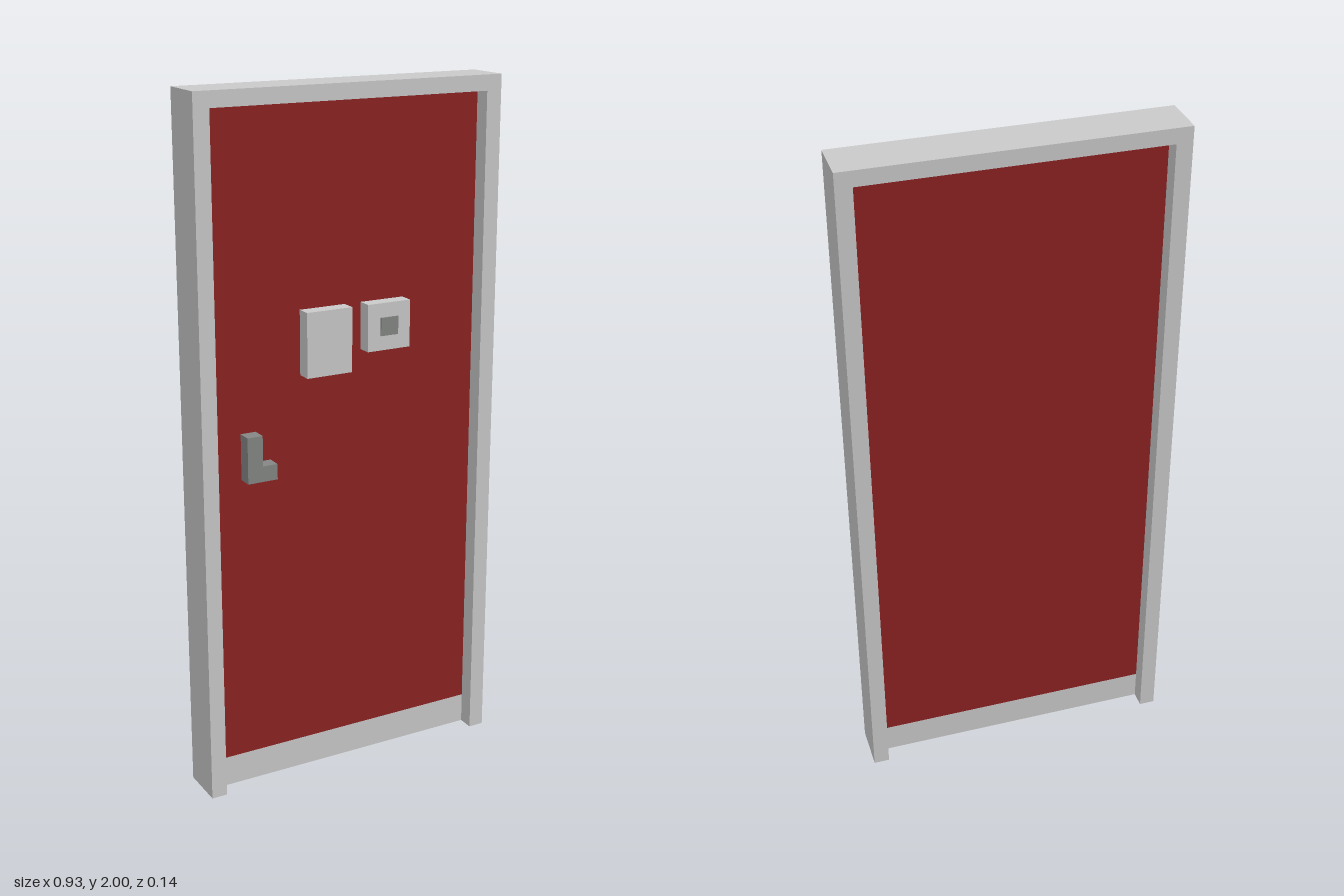
import * as THREE from 'three';

const mat = (name, color) => {
  const m = new THREE.MeshStandardMaterial({ color });
  m.name = name;
  return m;
};

export function createModel() {
  const model = new THREE.Group();
  model.name = 'securityDoor';
  const lightGrey = mat('lightGrey', 0xc9c9c9);
  const darkGrey = mat('darkGrey', 0x848684);
  const red = mat('darkRed', 0x8b2222);

  const add = (name, geometry, material) => {
    const mesh = new THREE.Mesh(geometry, material);
    mesh.name = name;
    model.add(mesh);
    return mesh;
  };
  // Box given by its limits on each axis
  const box = (name, material, x0, x1, y0, y1, z0, z1) =>
    add(name, new THREE.BoxGeometry(x1 - x0, y1 - y0, z1 - z0), material)
      .position.set((x0 + x1) / 2, (y0 + y1) / 2, (z0 + z1) / 2);
  // Outline of [x, y] points extruded from z0 to z1
  const extrude = (name, material, points, z0, z1) => {
    const shape = new THREE.Shape(points.map(([x, y]) => new THREE.Vector2(x, y)));
    const geometry = new THREE.ExtrudeGeometry(shape, { depth: z1 - z0, bevelEnabled: false });
    add(name, geometry, material).position.z = z0;
  };

  const W = 0.464, w = 0.418, top = 1.956, face = 0.02, front = 0.063;

  // Frame: two jambs and a header in one piece
  extrude('doorFrame', lightGrey, [
    [-W, 0], [-w, 0], [-w, top], [w, top], [w, 0], [W, 0], [W, 2], [-W, 2],
  ], -0.068, 0.068);

  // Door leaf with kick panel showing on both sides
  box('doorLeaf', red, -w, w, 0.09, top, -face, face);
  box('kickPanel', lightGrey, -w, w, 0, 0.09, -face, face);

  // L-shaped handle
  extrude('handle', darkGrey, [
    [-0.328, 0.935], [-0.238, 0.935], [-0.238, 0.98], [-0.282, 0.98], [-0.282, 1.068], [-0.328, 1.068],
  ], face, front);

  // Wall plates on the door
  box('signPlate', lightGrey, -0.143, -0.003, 1.21, 1.395, face, front);
  box('lockPlate', lightGrey, 0.047, 0.182, 1.26, 1.395, face, front);
  box('lockButton', darkGrey, 0.087, 0.142, 1.302, 1.354, front, front + 0.004);

  return model;
}
